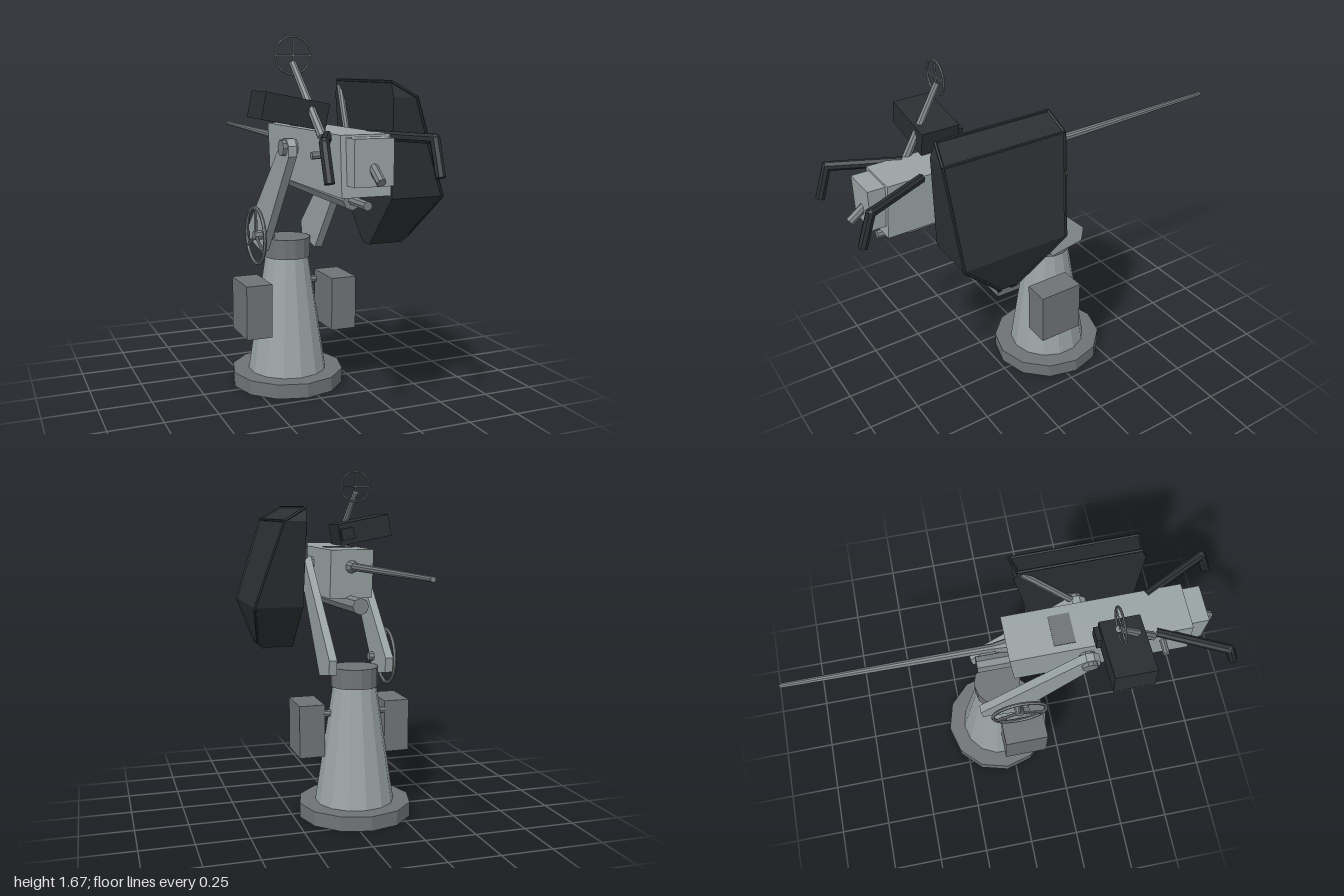
import * as THREE from 'three';
import { ConvexGeometry } from 'three/addons/geometries/ConvexGeometry.js';

const mat = (color) => new THREE.MeshStandardMaterial({ color, flatShading: true });
const light = mat(0x9aa3a4), mid = mat(0x707376), steel = mat(0x7c8183), black = mat(0x2b2f32);
const CX = -0.055; // centre line of the mount
const V = (x, y, z) => new THREE.Vector3(x, y, z);

export function createModel() {
  const model = new THREE.Group();

  function add(name, geometry, material, x = 0, y = 0, z = 0, parent = model) {
    const m = new THREE.Mesh(geometry, material);
    m.name = name;
    m.position.set(x, y, z);
    parent.add(m);
    return m;
  }
  // Cylinder running from a to b
  function bar(name, a, b, ra, rb, material, sides = 8, parent = model) {
    const d = b.clone().sub(a);
    const m = add(name, new THREE.CylinderGeometry(rb, ra, d.length(), sides), material, 0, 0, 0, parent);
    m.position.copy(a).addScaledVector(d, 0.5);
    m.quaternion.setFromUnitVectors(V(0, 1, 0), d.normalize());
    return m;
  }
  // Side profile of [z, y] points extruded across x
  function plate(name, points, x0, x1, material) {
    const shape = new THREE.Shape(points.map(([z, y]) => new THREE.Vector2(z, y)));
    const g = new THREE.ExtrudeGeometry(shape, { depth: x1 - x0, bevelEnabled: false });
    g.rotateY(-Math.PI / 2);
    return add(name, g, material, x1, 0, 0);
  }
  const box = (w, h, d) => new THREE.BoxGeometry(w, h, d);

  // Pedestal
  add('baseFlange', new THREE.CylinderGeometry(0.275, 0.275, 0.07, 12), mid, CX, 0.035, -0.05);
  add('pedestal', new THREE.CylinderGeometry(0.105, 0.192, 0.57, 14), light, CX, 0.355, -0.05);
  add('collar', new THREE.CylinderGeometry(0.114, 0.114, 0.095, 14), mid, CX, 0.6825, -0.05);

  // Mirrored side parts: ammunition boxes and carriage arms
  const armProfile = [[-0.16, 0.78], [-0.15, 0.71], [0.02, 0.68], [0.385, 1.165],
    [0.385, 1.21], [0.355, 1.24], [0.32, 1.24], [0.29, 1.22]];
  for (const s of [-1, 1]) {
    add('sideBox', box(0.125, 0.255, 0.215), mid, CX + s * 0.2135, 0.4225, 0.048);
    const inner = CX + s * 0.119, outer = CX + s * 0.157;
    plate('carriageArm', armProfile, Math.min(inner, outer), Math.max(inner, outer), light);
    bar('pivotBolt', V(CX + s * 0.1, 1.2, 0.335), V(CX + s * 0.175, 1.2, 0.335), 0.036, 0.036, steel, 10);
  }
  bar('boxMountRod', V(CX - 0.155, 0.505, -0.045), V(CX + 0.155, 0.505, -0.045), 0.017, 0.017, steel);

  // Elevation handwheel
  const wheel = new THREE.Group();
  wheel.name = 'handwheel';
  wheel.position.set(-0.24, 0.76, 0.025);
  wheel.rotation.y = Math.PI / 2;
  model.add(wheel);
  add('wheelRim', new THREE.TorusGeometry(0.132, 0.009, 6, 24), mid, 0, 0, 0, wheel);
  for (let i = 0; i < 3; i++) {
    const a = Math.PI / 2 + i * Math.PI * 2 / 3;
    bar('wheelSpoke', V(0, 0, 0), V(Math.cos(a) * 0.13, Math.sin(a) * 0.13, 0), 0.008, 0.008, mid, 6, wheel);
  }
  bar('wheelShaft', V(-0.25, 0.76, 0.025), V(-0.15, 0.76, 0.025), 0.022, 0.022, steel);

  // Gun housing
  plate('receiver', [[-0.012, 1.285], [0.012, 1.05], [0.82, 1.045], [0.8, 1.287]], -0.162, 0.05, light);
  add('rearBlock', box(0.168, 0.185, 0.08), light, CX, 1.185, 0.84);
  add('topHatch', box(0.14, 0.008, 0.095), mid, CX - 0.005, 1.286, 0.237);
  bar('trigger', V(CX, 1.18, 0.85), V(CX, 1.115, 0.94), 0.02, 0.02, steel);
  bar('sidePeg', V(-0.23, 1.2, 0.677), V(-0.15, 1.2, 0.677), 0.015, 0.015, steel);

  // Barrel and the recoil cylinder below it
  bar('barrelCollar', V(CX, 1.203, 0.01), V(CX, 1.204, -0.06), 0.034, 0.022, steel, 10);
  bar('barrel', V(CX, 1.204, 0), V(CX, 1.222, -1), 0.02, 0.011, steel, 10);
  bar('recoilCylinder', V(CX, 1.012, 0.69), V(CX, 1.027, -0.145), 0.04, 0.04, steel);
  bar('recoilRod', V(CX, 1.011, 0.83), V(CX, 1.013, 0.66), 0.019, 0.019, steel);

  // Grip handles
  for (const s of [-1, 1]) {
    const path = [V(CX + s * 0.09, 1.272, 0.64), V(CX + s * 0.23, 1.272, 0.93), V(CX + s * 0.23, 1.128, 0.98)];
    bar('handleArm', path[0], path[1], 0.021, 0.021, black);
    bar('handleGrip', path[1], path[2], 0.021, 0.021, black);
    add('handleElbow', new THREE.SphereGeometry(0.022, 8, 6), black, path[1].x, path[1].y, path[1].z);
  }

  // Ring sight on its stem
  bar('sightStem', V(-0.16, 1.27, 0.62), V(-0.208, 1.56, 0.42), 0.02, 0.015, steel);
  add('sightRing', new THREE.TorusGeometry(0.078, 0.005, 6, 20), mid, -0.208, 1.59, 0.425);
  add('sightCrossBar', box(0.155, 0.006, 0.006), mid, -0.208, 1.59, 0.425);
  add('sightUprightBar', box(0.006, 0.155, 0.006), mid, -0.208, 1.59, 0.425);

  // Tilted magazine
  const magazine = new THREE.Group();
  magazine.name = 'magazine';
  magazine.position.set(-0.247, 1.366, 0.47);
  magazine.rotation.z = -0.19;
  model.add(magazine);
  add('magazineCase', box(0.28, 0.112, 0.18), black, 0, 0, 0, magazine);
  add('magazineLatch', box(0.07, 0.06, 0.025), black, 0.1, 0, -0.1, magazine);

  // Side shield: outer edge loops from top to bottom, closed to a flat inner face
  const rows = [[0.15, 1.483, 0.083, 0.62], [0.255, 1.42, 0.067, 0.646],
    [0.388, 1.0, 0.147, 0.646], [0.335, 0.8, 0.37, 0.45], [0.3, 0.768, 0.378, 0.442]];
  const points = [];
  for (const [x, y, z0, z1] of rows) {
    for (const z of [z0, z1]) points.push(V(x, y, z), V(0.147, y, z));
  }
  add('shield', new ConvexGeometry(points), black);
  for (let i = 0; i < rows.length; i++) {
    const [x, y, z0, z1] = rows[i];
    if (i < 4) {
      const [nx, ny, n0, n1] = rows[i + 1];
      bar('shieldRim', V(x, y, z0), V(nx, ny, n0), 0.007, 0.007, black, 6);
      bar('shieldRim', V(x, y, z1), V(nx, ny, n1), 0.007, 0.007, black, 6);
    }
    if (i < 2) bar('shieldRim', V(x, y, z0), V(x, y, z1), 0.007, 0.007, black, 6);
  }

  // Shield struts from the pivot
  bar('shieldStrut', V(0.09, 1.21, 0.335), V(0.155, 1.455, 0.1), 0.015, 0.015, steel);
  bar('shieldStrut', V(0.09, 1.2, 0.335), V(0.17, 1.14, 0.33), 0.02, 0.02, steel);

  return model;
}
